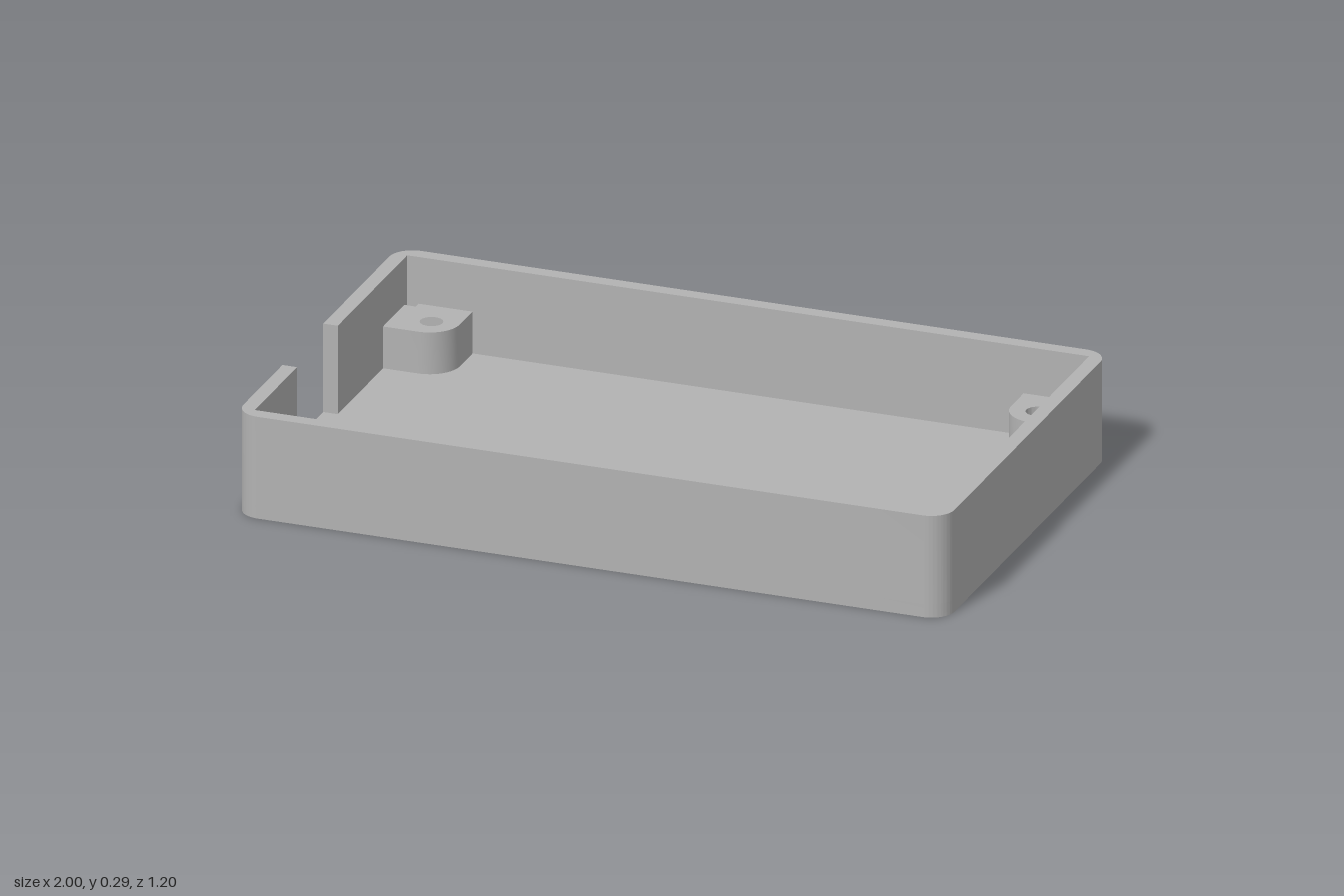
import * as THREE from 'three';
import { toCreasedNormals } from 'three/addons/utils/BufferGeometryUtils.js';

const W = 1, D = 0.602, H = 0.29;        // half width, half depth, height
const WALL = 0.041, FLOOR = 0.038, R = 0.065;
const IX = W - WALL, IZ = D - WALL;      // inner half sizes

export function createModel() {
  const grey = new THREE.MeshStandardMaterial({ color: 0xb2b2b2 });
  grey.name = 'grey plastic';
  const model = new THREE.Group();
  model.name = 'enclosureTray';

  // Extrudes a plan shape (shape y = -z) upward from y0 to y1
  const slab = (name, shape, y0, y1) => {
    let geo = new THREE.ExtrudeGeometry(shape, { depth: y1 - y0, bevelEnabled: false, curveSegments: 16 });
    geo.rotateX(-Math.PI / 2).translate(0, y0, 0);
    geo = toCreasedNormals(geo, 0.5);
    const mesh = new THREE.Mesh(geo, grey);
    mesh.name = name;
    model.add(mesh);
  };

  // Rounded outer outline, counter-clockwise from the top of the opening side to its bottom
  const outline = (shape) => shape
    .lineTo(-W, -D + R).absarc(-W + R, -D + R, R, Math.PI, Math.PI * 1.5, false)
    .lineTo(W - R, -D).absarc(W - R, -D + R, R, -Math.PI / 2, 0, false)
    .lineTo(W, D - R).absarc(W - R, D - R, R, 0, Math.PI / 2, false)
    .lineTo(-W + R, D).absarc(-W + R, D - R, R, Math.PI / 2, Math.PI, false);

  // Floor plate
  const floor = new THREE.Shape();
  floor.moveTo(-W, 0);
  outline(floor);
  slab('floor', floor, 0, FLOOR);

  // Wall ring, open at the cable notch on the right side
  const n0 = -0.25, n1 = 0.05;
  const wall = new THREE.Shape();
  wall.moveTo(-W, n0);
  outline(wall);
  wall.lineTo(-W, n1);
  wall.lineTo(-IX, n1);
  wall.lineTo(-IX, IZ);
  wall.lineTo(IX, IZ);
  wall.lineTo(IX, -IZ);
  wall.lineTo(-IX, -IZ);
  wall.lineTo(-IX, n0);
  slab('wall', wall, FLOOR, H);

  // Corner screw bosses with a relief cut in the corner and a blind hole
  const bx = 0.775, bz = 0.383, br = 0.085, cx = 0.032, cz = 0.021;
  for (const sx of [-1, 1]) for (const sz of [-1, 1]) {
    const boss = new THREE.Shape();
    const pts = [[IX - cx, IZ], [bx, IZ]];
    for (let i = 0; i <= 12; i++) {
      const a = Math.PI + (i / 12) * Math.PI / 2;
      pts.push([bx + br + br * Math.cos(a), bz + br + br * Math.sin(a)]);
    }
    pts.push([IX, bz], [IX, IZ - cz], [IX - cx, IZ - cz]);
    boss.setFromPoints(pts.map(([x, y]) => new THREE.Vector2(x * sx, y * sz)));
    boss.holes.push(new THREE.Path().absarc(sx * 0.852, sz * 0.46, 0.031, 0, Math.PI * 2, true));
    slab(`${sz < 0 ? 'front' : 'back'}${sx < 0 ? 'Right' : 'Left'}Boss`, boss, FLOOR, 0.157);
  }
  return model;
}
